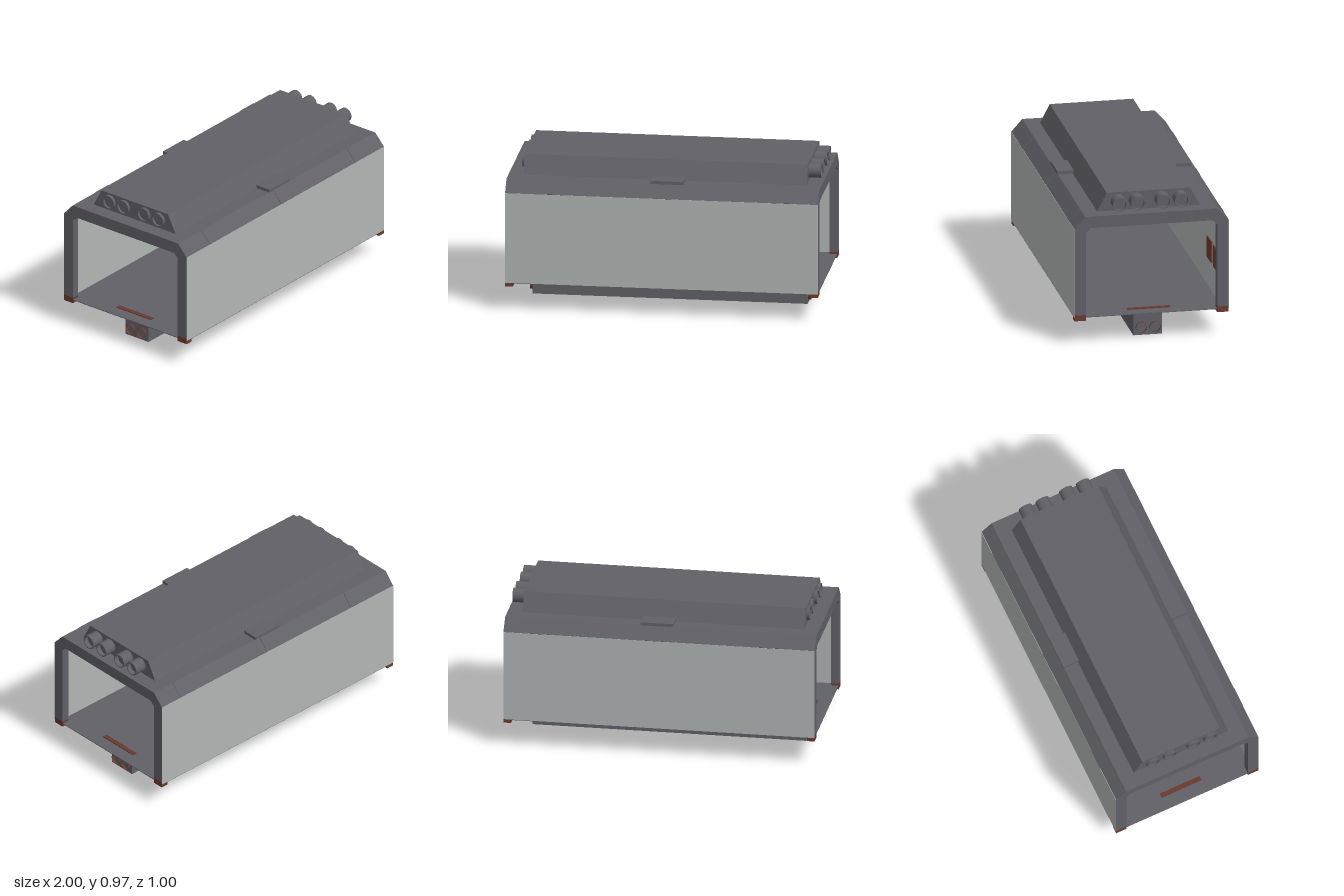
import * as THREE from 'three';

const mat = (name, color, side = THREE.FrontSide) => {
  const m = new THREE.MeshStandardMaterial({ color, side });
  m.name = name;
  return m;
};

export function createModel() {
  const group = new THREE.Group();
  const grey = mat('slate grey', 0x616067);
  const light = mat('pale panel grey', 0xb1b5b4);
  const rust = mat('rust brown', 0x6a3a2e, THREE.DoubleSide);

  const add = (name, geometry, material) => {
    const mesh = new THREE.Mesh(geometry, material);
    mesh.name = name;
    group.add(mesh);
    return mesh;
  };
  // Box given by its extents on each axis
  const box = (name, material, [x0, x1], [y0, y1], [z0, z1]) => {
    const mesh = add(name, new THREE.BoxGeometry(x1 - x0, y1 - y0, Math.abs(z1 - z0)), material);
    mesh.position.set((x0 + x1) / 2, (y0 + y1) / 2, (z0 + z1) / 2);
    return mesh;
  };
  // Prism along x from a list of [z, y] corners
  const prism = (name, material, points, x0, x1) => {
    const shape = new THREE.Shape(points.map(([z, y]) => new THREE.Vector2(-z, y)));
    const geometry = new THREE.ExtrudeGeometry(shape, { depth: x1 - x0, bevelEnabled: false });
    geometry.rotateY(Math.PI / 2).translate(x0, 0, 0);
    return add(name, geometry, material);
  };
  // Half outline completed by its mirror image
  const mirrored = (half) => [...half, ...half.map(([z, y]) => [-z, y]).reverse()];

  // End arches with brown feet
  const arch = [
    ...mirrored([[0.498, 0.2], [0.498, 0.777], [0.428, 0.855]]),
    ...mirrored([[-0.425, 0.2], [-0.425, 0.75], [-0.395, 0.778]]),
  ];
  for (const [x0, x1] of [[-1, -0.95], [0.95, 1]]) {
    prism('endArch', grey, arch, x0, x1);
    for (const s of [-1, 1]) box('foot', rust, [x0, x1], [0.162, 0.2], [s * 0.425, s * 0.498]);
  }

  for (const s of [-1, 1]) {
    // Side walls with outer skin
    box('sideWall', light, [-0.95, 0.95], [0.186, 0.775], [s * 0.46, s * 0.498]);
    box('wallSkin', light, [-1, 1], [0.186, 0.777], [s * 0.498, s * 0.5]);

    // Roof edge, chamfered inside and out
    prism('roofEdge', grey, [
      [0.498, 0.777], [0.428, 0.855], [0.32, 0.855], [0.32, 0.78], [0.4, 0.78], [0.46, 0.72], [0.46, 0.777],
    ].map(([z, y]) => [s * z, y]), -0.95, 0.95);

    // Raised plate on the roof and flush straps on its slope
    box('roofPlate', grey, [-0.08, 0.13], [0.855, 0.875], [s * 0.325, s * 0.432]);
    for (const x of [-0.7, 0.025, 0.775]) {
      prism('slopeStrap', grey, [[0.498, 0.777], [0.5, 0.779], [0.43, 0.857], [0.428, 0.855]]
        .map(([z, y]) => [s * z, y]), x - 0.065, x + 0.065);
    }

    // Roof closing strip at each end
    box('roofEnd', grey, s > 0 ? [0.895, 0.95] : [-0.95, -0.895], [0.78, 0.855], [-0.32, 0.32]);
  }

  // Hollow roof housing, open to the inside
  const housing = [[0.335, 0.85], [0.27, 0.975]];
  prism('roofHousing', grey, [...mirrored(housing), ...mirrored([[-0.32, 0.85], [-0.26, 0.968]])], -0.905, 0.905);
  for (const x of [-0.905, 0.897]) prism('housingEnd', grey, mirrored(housing), x, x + 0.008);

  // Long pipes with recessed ends
  const r = 0.046, x0 = -0.925, x1 = 0.985;
  const pipeProfile = [[0, x0 + 0.015], [r - 0.006, x0 + 0.015], [r - 0.006, x0], [r, x0],
    [r, x1], [r - 0.006, x1], [r - 0.006, x1 - 0.03], [0, x1 - 0.03]];
  // Each straight run is its own lathe so that the rims stay sharp
  for (const z of [-0.2, -0.083, 0.083, 0.2]) {
    for (let i = 0; i < pipeProfile.length - 1; i++) {
      const run = pipeProfile.slice(i, i + 2).map(([a, b]) => new THREE.Vector2(a, b));
      const geometry = new THREE.LatheGeometry(run, 24).rotateZ(-Math.PI / 2);
      add('roofPipe', geometry, grey).position.set(0, 0.918, z);
    }
  }

  // Floor and the beam beneath it
  box('floor', grey, [-0.998, 0.998], [0.182, 0.187], [-0.498, 0.498]);
  box('underBeam', grey, [-0.88, 0.88], [0.003, 0.182], [-0.093, 0.093]);
  for (const s of [-1, 1]) {
    // Open rings on the beam ends and brown strip on the floor
    for (const z of [-0.045, 0.045]) {
      const ring = add('beamRing', new THREE.CylinderGeometry(0.034, 0.034, 0.02, 24, 1, true).rotateZ(Math.PI / 2), rust);
      ring.position.set(s * 0.888, 0.055, z);
    }
    box('floorStrip', rust, [s * 0.9 - 0.015, s * 0.9 + 0.015], [0.187, 0.192], [-0.14, 0.14]);
  }

  // Panels on the inside of the back wall
  for (const x of [0.6, 0.8]) box('wallPanel', rust, [x - 0.07, x + 0.07], [0.38, 0.52], [-0.46, -0.452]);

  // Slatted vent on the inner slope
  const vent = new THREE.Group();
  vent.name = 'vent';
  for (let i = 0; i < 5; i++) {
    for (const across of [true, false]) {
      const bar = new THREE.Mesh(new THREE.BoxGeometry(across ? 0.12 : 0.008, across ? 0.008 : 0.07, 0.006), grey);
      bar.name = 'ventBar';
      bar.position.set(across ? 0 : (i - 2) * 0.028, across ? (i - 2) * 0.0155 : 0, 0);
      vent.add(bar);
    }
  }
  vent.position.set(0.8, 0.748, 0.428);
  vent.rotation.x = Math.PI / 4;
  group.add(vent);

  return group;
}
